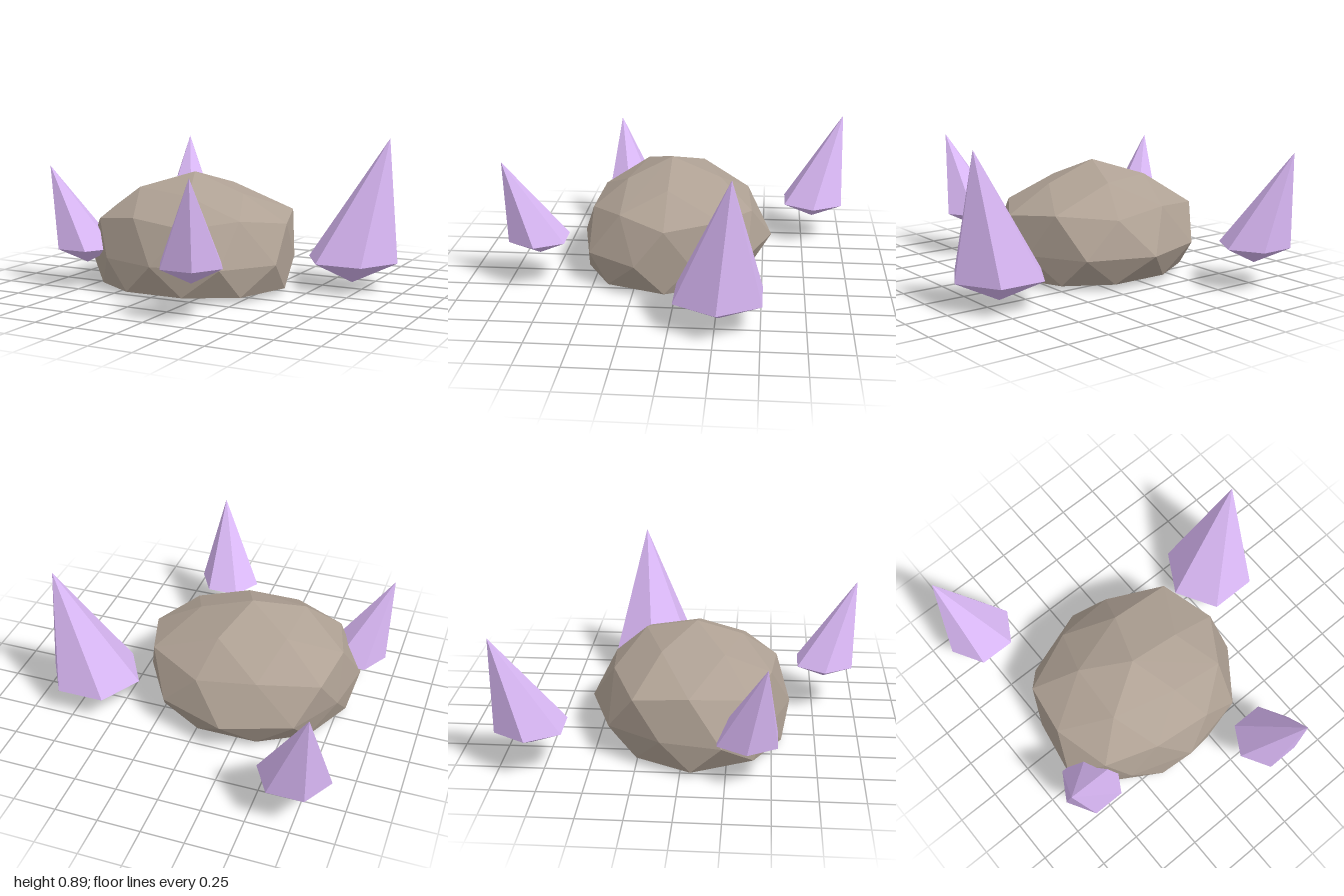
import * as THREE from 'three';
import { ConvexGeometry } from 'three/addons/geometries/ConvexGeometry.js';

const rockMaterial = new THREE.MeshStandardMaterial({ color: 0xafa194, flatShading: true });
const crystalMaterial = new THREE.MeshStandardMaterial({ color: 0xdab8f6, flatShading: true });

// Boulder cross-sections from top to bottom: height, then x, z corners around the ring
const rockRings = [
  [0.685, [-0.2, 0.06]],
  [0.595, [-0.48, 0.23], [-0.46, -0.12], [-0.09, -0.24]],
  [0.57, [0.12, 0.06], [-0.1, 0.32]],
  [0.45, [0.23, 0.33], [-0.37, 0.49], [-0.76, 0.05], [-0.37, -0.4], [0.3, -0.26]],
  [0.413, [0.4, 0.06], [-0.02, 0.52], [-0.67, 0.38], [-0.71, -0.26], [-0.02, -0.43]],
  [0.2, [0.41, 0.23], [0.2, 0.52], [-0.2, 0.6], [-0.56, 0.48], [-0.84, 0.23],
    [-0.78, -0.11], [-0.6, -0.41], [-0.2, -0.55], [0.19, -0.41], [0.38, -0.1]],
  [0.032, [0.39, 0.06], [0.27, 0.4], [-0.02, 0.555], [-0.38, 0.555], [-0.64, 0.4],
    [-0.8, 0.06], [-0.65, -0.25], [-0.38, -0.405], [-0.02, -0.405], [0.25, -0.25]],
  [0.01, [0.11, 0.28], [-0.32, 0.42], [-0.58, 0.06], [-0.32, -0.28], [0.11, -0.15]],
  [0, [-0.2, 0.06]],
];

// Faceted boulder with a nearly flat underside
function createRock() {
  const points = rockRings.flatMap(([y, ...corners]) => corners.map(([x, z]) => new THREE.Vector3(x, y, z)));
  const rock = new THREE.Mesh(new ConvexGeometry(points), rockMaterial);
  rock.name = 'rock';
  return rock;
}

// Six-sided shard: a hexagonal girdle, a short point below and a tall leaning tip
function createCrystal({ name, centre: [cx, cz], radius, girdle, base, tip }) {
  const points = [new THREE.Vector3(cx, base, cz), new THREE.Vector3(...tip)];
  for (let i = 0; i < 6; i++) {
    const a = (i * Math.PI) / 3;
    points.push(new THREE.Vector3(cx + radius * Math.cos(a), girdle, cz + radius * Math.sin(a)));
  }
  const crystal = new THREE.Mesh(new ConvexGeometry(points), crystalMaterial);
  crystal.name = name;
  return crystal;
}

const crystals = [
  { name: 'leftLargeCrystal', centre: [0.683, -0.267], radius: 0.278, girdle: 0.171, base: 0.033, tip: [0.877, 0.892, -0.338] },
  { name: 'backCrystal', centre: [-0.716, -0.816], radius: 0.21, girdle: 0.25, base: 0.145, tip: [-0.82, 0.8, -0.998] },
  { name: 'frontCrystal', centre: [0.187, 0.814], radius: 0.188, girdle: 0.283, base: 0.188, tip: [0.28, 0.77, 0.998] },
  { name: 'rightSmallCrystal', centre: [-0.772, 0.367], radius: 0.188, girdle: 0.234, base: 0.139, tip: [-0.957, 0.722, 0.466] },
];

export function createModel() {
  const model = new THREE.Group();
  model.name = 'crystalRock';
  model.add(createRock(), ...crystals.map(createCrystal));
  return model;
}
